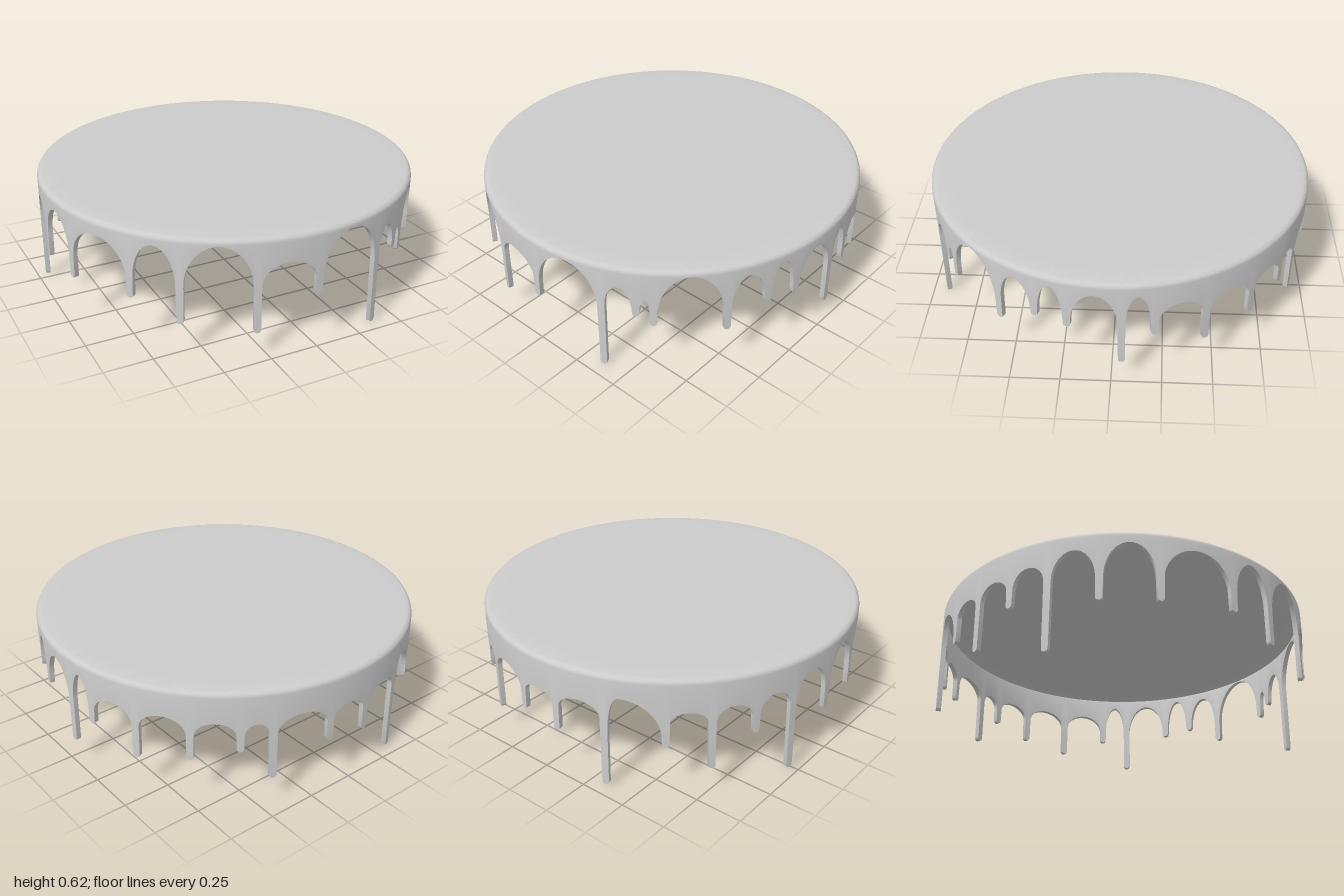
import * as THREE from 'three';
import { toCreasedNormals } from 'three/addons/utils/BufferGeometryUtils.js';

const TOP = 0.625;      // height of the flat top
const THICK = 0.025;    // sheet thickness
const CORNER = 0.028;   // rounded rim radius
const HALF = 0.019;     // half width of a drip stalk

// Each drip: angle (degrees, 0 = front, 90 = +x), tip height,
// height of the arch that follows it, optional apex position and arch depth
const DRIPS = [
  [0, 0.28, 0.59], [21.7, 0, 0.51], [31.5, 0.35, 0.45], [36.3, 0.3, 0.595],
  [56.5, 0.25, 0.555], [68.5, 0.36, 0.57], [78, 0.34, 0.555], [93, 0.135, 0.55],
  [102, 0.31, 0.48], [117, 0.21, 0.475], [132.5, 0.25, 0.46], [146, 0.3, 0.45],
  [155, 0.135, 0.475], [172, 0.28, 0.45], [185, 0.25, 0.46], [200, 0.01, 0.51, 0.25, 0.2],
  [217, 0.26, 0.45], [229.5, 0.13, 0.465], [242, 0.29, 0.48], [254, 0.015, 0.53],
  [268.5, 0.25, 0.56], [285, 0.25, 0.55], [307, 0.27, 0.57], [321.5, 0.175, 0.59],
  [342.4, 0.13, 0.488],
];

// Half of a gap: rounded tip, straight stalk, then a quarter ellipse up to the apex
function halfGap(angle, tip, apexAngle, apex, depth) {
  const dir = Math.sign(apexAngle - angle);
  const points = [];
  for (let k = 0; k <= 5; k++) {
    const t = (k / 5) * Math.PI / 2;
    points.push([angle + dir * HALF * 0.9 * Math.sin(t), tip + HALF * 0.8 * (1 - Math.cos(t))]);
  }
  const start = angle + dir * HALF;
  const spring = Math.max(tip + HALF + 0.01, apex - depth);
  for (let k = 0; k <= 11; k++) {
    const t = (k / 11) * Math.PI / 2;
    points.push([
      start + (apexAngle - start) * (1 - Math.cos(t)),
      spring + (apex - spring) * Math.sin(t),
    ]);
  }
  return points;
}

// Lower edge of the sheet all the way round, as [angle, height]
function lowerEdge() {
  const edge = [];
  DRIPS.forEach(([deg, tip, apex, pos = 0.5, deep], i) => {
    const next = DRIPS[(i + 1) % DRIPS.length];
    const a = THREE.MathUtils.degToRad(deg);
    const b = THREE.MathUtils.degToRad(next[0] + (i === DRIPS.length - 1 ? 360 : 0));
    const mid = a + (b - a) * pos;
    const depth = deep ?? Math.max(0.06, 0.1 + (apex - 0.485) * 1.15);
    const rise = halfGap(a, tip, mid, apex, depth);
    const fall = halfGap(b, next[1], mid, apex, depth).reverse();
    edge.push(...rise, ...fall.slice(1, -1));
  });
  return edge;
}

// Radial section [radius, height]: top, rounded rim, outer wall, edge, inner wall, underside
function section(h) {
  const arc = (r) => Array.from({ length: 6 }, (_, k) => {
    const t = (k / 5) * Math.PI / 2;
    return [1 - CORNER + r * Math.sin(t), TOP - CORNER + r * Math.cos(t)];
  });
  const inner = arc(CORNER - THICK * 0.8).reverse();
  const low = Math.min(h, TOP - CORNER - 0.001);
  return [
    [0, TOP], [0.9, TOP], ...arc(CORNER), [1, low],
    [1 - THICK, low], [1 - THICK, Math.max(low, inner[0][1] - 0.005)],
    ...inner.slice(2), [0.9, TOP - THICK * 0.8], [0, TOP - THICK * 0.8],
  ];
}

function drippingSheet() {
  const edge = lowerEdge();
  const positions = [];
  const index = [];
  const rows = section(0.5).length;
  for (const [a, h] of edge) {
    for (const [r, y] of section(h)) positions.push(r * Math.sin(a), y, r * Math.cos(a));
  }
  edge.forEach((_, i) => {
    const p = i * rows;
    const q = ((i + 1) % edge.length) * rows;
    for (let j = 0; j < rows - 1; j++) {
      if (j < rows - 2) index.push(p + j, p + j + 1, q + j + 1);
      if (j > 0) index.push(p + j, q + j + 1, q + j);
    }
  });
  const geometry = new THREE.BufferGeometry();
  geometry.setAttribute('position', new THREE.Float32BufferAttribute(positions, 3));
  geometry.setIndex(index);
  return toCreasedNormals(geometry, 0.75);
}

export function createModel() {
  const group = new THREE.Group();
  group.name = 'drippingIcing';
  const material = new THREE.MeshStandardMaterial({ color: 0xcccccc, side: THREE.DoubleSide });
  const sheet = new THREE.Mesh(drippingSheet(), material);
  sheet.name = 'icingSheetWithDrips';
  group.add(sheet);
  return group;
}
